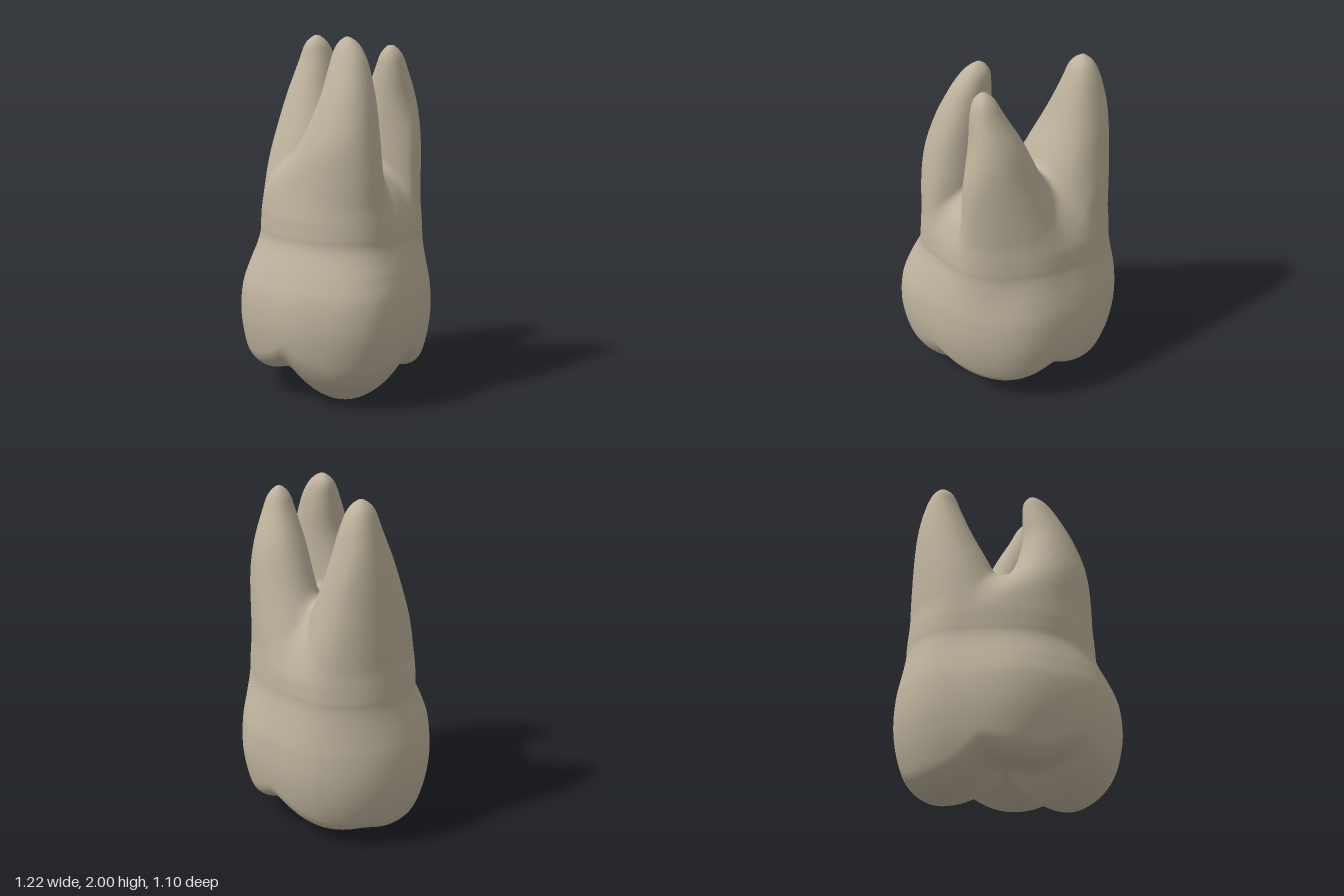
import * as THREE from 'three';

// Smooth curve through rows [t, a, b, ...], clamped at both ends
function sample(rows, t, c) {
  const n = rows.length - 1;
  if (t <= rows[0][0]) return rows[0][c];
  if (t >= rows[n][0]) return rows[n][c];
  let i = 0;
  while (t > rows[i + 1][0]) i++;
  const slope = j => {
    const a = rows[Math.max(j - 1, 0)], b = rows[Math.min(j + 1, n)];
    return (b[c] - a[c]) / (b[0] - a[0]);
  };
  const w = rows[i + 1][0] - rows[i][0], s = (t - rows[i][0]) / w, s2 = s * s, s3 = s2 * s;
  return (2 * s3 - 3 * s2 + 1) * rows[i][c] + (s3 - 2 * s2 + s) * w * slope(i)
    + (3 * s2 - 2 * s3) * rows[i + 1][c] + (s3 - s2) * w * slope(i + 1);
}
// Rounded union and rounded intersection
const smin = (a, b, k) => Math.min(a, b) - Math.max(k - Math.abs(a - b), 0) ** 2 / (4 * k);
const smax = (a, b, k) => -smin(-a, -b, k);

// Outline radii every 30 degrees, from +x towards +z
const CROWN = [.59, .66, .605, .545, .535, .54, .605, .615, .59, .548, .567, .565];
const NECK = [.505, .515, .465, .42, .395, .42, .515, .545, .53, .478, .47, .503];
function outline(list, angle) {
  const u = ((angle / (Math.PI / 6)) % 12 + 12) % 12, i = Math.floor(u), s = u - i;
  const p = j => list[(i + j + 12) % 12];
  return p(0) + 0.5 * s * (p(1) - p(-1) + s * (2 * p(-1) - 5 * p(0) + 4 * p(1) - p(2)
    + s * (3 * (p(0) - p(1)) + p(2) - p(-1))));
}
// [y, blend from neck to crown outline, scale]
const PROFILE = [
  [0, 1, .68], [.1, 1, .84], [.2, 1, .92], [.32, 1, .975], [.45, 1, 1], [.6, .9, 1],
  [.72, .58, 1], [.8, .3, 1], [.88, .03, 1], [.93, 0, 1], [1.05, 0, .95], [1.2, 0, .8], [1.36, 0, .48],
];
// Cusp tips: [x, y, z, steepness]
const CUSPS = [
  [.28, .003, .2, 2.1], [-.4, .025, -.03, 1.6], [.3, .115, -.27, 1.2],
  [-.24, .06, -.26, 1.3], [-.14, .14, .32, 1.2],
];

function body(x, y, z) {
  const a = Math.atan2(z, x), t = sample(PROFILE, y, 1);
  const radius = (outline(NECK, a) * (1 - t) + outline(CROWN, a) * t) * sample(PROFILE, y, 2);
  let floor = 9;
  for (const [cx, cy, cz, k] of CUSPS)
    floor = smin(floor, cy + k * ((x - cx) ** 2 + (z - cz) ** 2), .06);
  const d = smax(Math.hypot(x, z) - radius, floor - y, .075);
  return smax(d, y - 1.36, .14);
}

// Root sections: [y, xMin, xMax, zMin, zMax]
const ROOTS = {
  side: { tip: 2.015, rows: [
    [1, -.52, .04, -.48, .27], [1.2, -.515, .0, -.445, .19], [1.4, -.5, -.055, -.405, .11],
    [1.65, -.465, -.155, -.36, .0], [1.85, -.418, -.215, -.31, -.09], [1.95, -.385, -.25, -.27, -.125],
    [2.015, -.36, -.28, -.24, -.16]] },
  front: { tip: 2.015, rows: [
    [1, -.36, .51, -.04, .42], [1.2, -.22, .49, -.022, .395], [1.4, -.04, .45, -.015, .36],
    [1.65, .07, .39, -.01, .275], [1.85, .093, .315, -.005, .187], [1.95, .105, .255, .01, .135],
    [2.015, .125, .21, .03, .1]] },
  back: { tip: 1.97, rows: [
    [1, -.18, .5, -.49, -.045], [1.2, -.1, .485, -.44, -.06], [1.4, .0, .46, -.395, -.066],
    [1.65, .11, .4, -.335, -.068], [1.85, .21, .367, -.245, -.085], [1.97, .255, .335, -.195, -.11]] },
};
function root({ tip, rows }, x, y, z) {
  const [x0, x1, z0, z1] = [1, 2, 3, 4].map(c => sample(rows, y, c));
  const a = (x1 - x0) / 2, b = (z1 - z0) / 2, p = 2.25;
  const u = Math.abs(x - (x0 + x1) / 2) / a, v = Math.abs(z - (z0 + z1) / 2) / b;
  // Slightly squared ellipse
  const q = Math.max((u ** p + v ** p) ** (1 / p), 1e-4);
  const g = Math.max(Math.hypot(u ** (p - 1) / a, v ** (p - 1) / b) / q ** (p - 1), 1);
  return smax((q - 1) / g, y - tip, .1);
}

// Signed field of the whole tooth, negative inside
function field(x, y, z) {
  const d = body(x, y, z);
  if (y < .7) return d;
  const pair = smin(root(ROOTS.front, x, y, z), root(ROOTS.back, x, y, z), .025);
  const all = smin(pair, root(ROOTS.side, x, y, z), .1);
  // Keep the roots within the neck outline
  const neck = Math.hypot(x, z) - outline(NECK, Math.atan2(z, x));
  return smin(smax(all, neck, .05), d, .05);
}

// Skin the field on a regular grid: one vertex per crossed cell, one quad per crossed edge
function skin() {
  const h = .0165, org = [-.68, -.05, -.62], dim = [83, 128, 76];
  const step = [1, dim[0], dim[0] * dim[1]];
  const values = new Float32Array(dim[0] * dim[1] * dim[2]);
  const at = (i, j, k) => i + j * step[1] + k * step[2];
  const each = (first, fn) => {
    for (let k = first; k < dim[2] - 1; k++)
      for (let j = first; j < dim[1] - 1; j++)
        for (let i = first; i < dim[0] - 1; i++) fn(i, j, k, at(i, j, k));
  };
  values.fill(1);
  each(0, (i, j, k, n) => { values[n] = field(org[0] + i * h, org[1] + j * h, org[2] + k * h); });

  const ids = new Int32Array(values.length).fill(-1), pos = [], nor = [];
  each(0, (i, j, k, n) => {
    const sum = [0, 0, 0];
    let count = 0;
    for (let c = 0; c < 8; c++)
      for (let d = 0; d < 3; d++) {
        if (c >> d & 1) continue;
        const o = [c & 1, c >> 1 & 1, c >> 2 & 1];
        const m = n + o[0] + o[1] * step[1] + o[2] * step[2];
        const f0 = values[m], f1 = values[m + step[d]];
        if ((f0 < 0) === (f1 < 0)) continue;
        o[d] += f0 / (f0 - f1);
        for (let e = 0; e < 3; e++) sum[e] += o[e];
        count++;
      }
    if (!count) return;
    ids[n] = pos.length / 3;
    const [x, y, z] = [i, j, k].map((g, e) => org[e] + (g + sum[e] / count) * h);
    const e = .012;
    const normal = new THREE.Vector3(
      field(x + e, y, z) - field(x - e, y, z),
      field(x, y + e, z) - field(x, y - e, z),
      field(x, y, z + e) - field(x, y, z - e)).normalize();
    pos.push(x, y, z);
    nor.push(normal.x, normal.y, normal.z);
  });

  const crown = [], roots = [];
  each(1, (i, j, k, n) => {
    for (let d = 0; d < 3; d++) {
      const inside = values[n] < 0;
      if (inside === (values[n + step[d]] < 0)) continue;
      const u = step[(d + 1) % 3], v = step[(d + 2) % 3];
      const q = [n - u - v, n - v, n, n - u].map(c => ids[c]);
      if (!inside) q.reverse();
      (org[1] + j * h < .89 ? crown : roots).push(q[0], q[1], q[2], q[0], q[2], q[3]);
    }
  });
  return { pos, nor, crown, roots };
}

export function createModel() {
  const group = new THREE.Group();
  group.name = 'molarTooth';
  const enamel = new THREE.MeshStandardMaterial({ color: 0xbdb29c });
  enamel.name = 'ivory';
  const { pos, nor, crown, roots } = skin();
  const position = new THREE.Float32BufferAttribute(pos, 3);
  const normal = new THREE.Float32BufferAttribute(nor, 3);
  // Crown below the neck line, three roots above it
  for (const [name, index] of [['crown', crown], ['roots', roots]]) {
    const geometry = new THREE.BufferGeometry();
    geometry.setAttribute('position', position);
    geometry.setAttribute('normal', normal);
    geometry.setIndex(index);
    const mesh = new THREE.Mesh(geometry, enamel);
    mesh.name = name;
    group.add(mesh);
  }
  return group;
}
